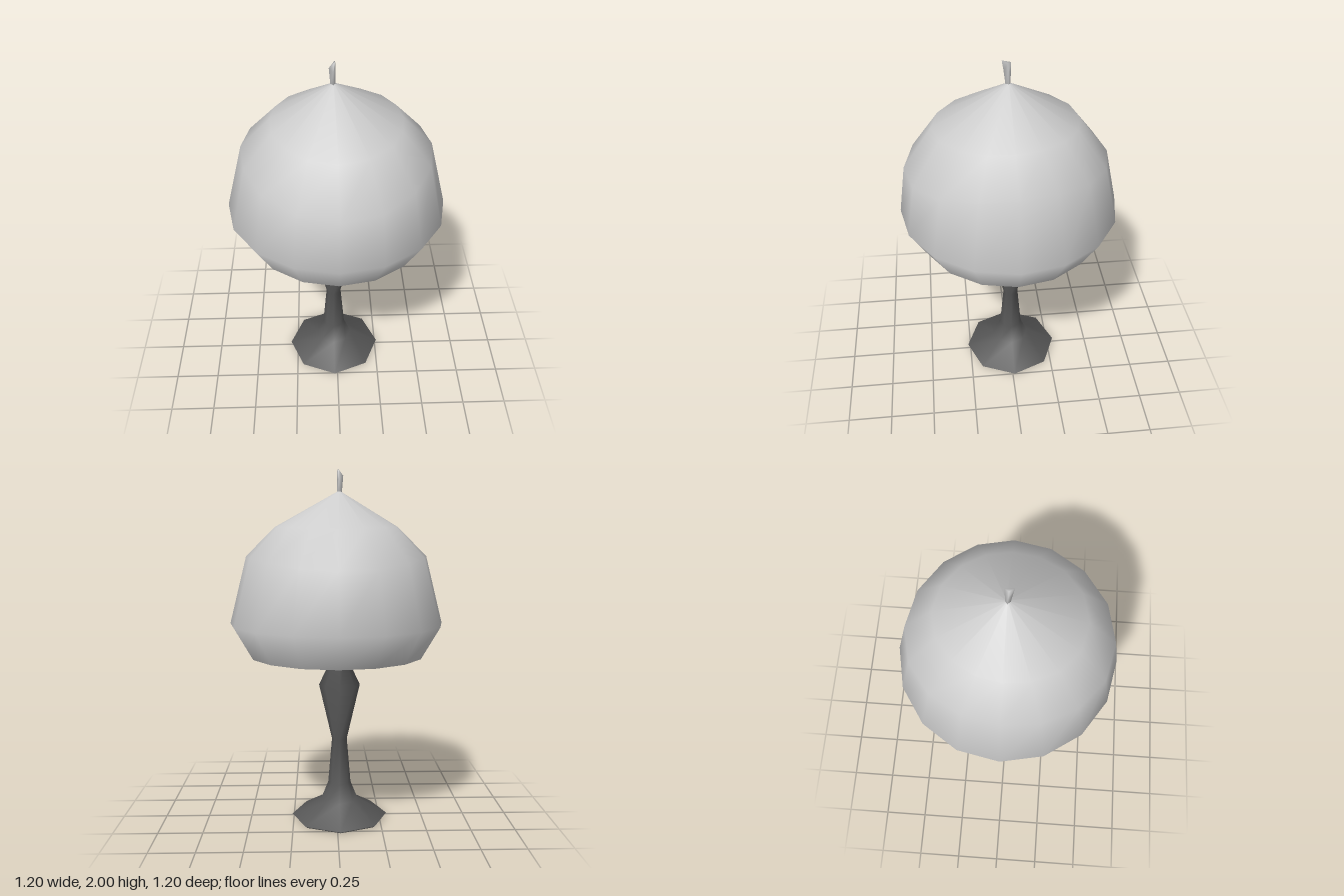
import * as THREE from 'three';

const shadeMat = new THREE.MeshStandardMaterial({ color: 0xcccccc, side: THREE.DoubleSide });
shadeMat.name = 'pale shade grey';
const standMat = new THREE.MeshStandardMaterial({ color: 0x575757 });
standMat.name = 'dark stand grey';

// Skins a stack of rings (bottom to top, each running from +z towards +x) with shared vertices.
function loft(rings, capBottom, capTop) {
  const n = rings[0].length;
  const positions = rings.flat(2);
  const index = [];
  for (let i = 0; i < rings.length - 1; i++) {
    for (let j = 0; j < n; j++) {
      const k = (j + 1) % n;
      const a = i * n + j, b = i * n + k, c = a + n, d = b + n;
      index.push(a, b, d, a, d, c);
    }
  }
  const top = (rings.length - 1) * n;
  for (let j = 1; j < n - 1; j++) {
    if (capBottom) index.push(0, j + 1, j);
    if (capTop) index.push(top, top + j, top + j + 1);
  }
  const geo = new THREE.BufferGeometry();
  geo.setAttribute('position', new THREE.Float32BufferAttribute(positions, 3));
  geo.setIndex(index);
  geo.computeVertexNormals();
  return geo;
}

// Ring whose radius and height are rules of the angle around the axis.
function ring(sides, radius, height, cx = 0, cz = 0) {
  return Array.from({ length: sides }, (_, j) => {
    const a = (j / sides) * Math.PI * 2;
    const c = Math.cos(a);
    const r = radius(c);
    return [cx + r * Math.sin(a), height(c), cz + r * c];
  });
}

function addMesh(group, name, geo, mat) {
  const mesh = new THREE.Mesh(geo, mat);
  mesh.name = name;
  group.add(mesh);
}

export function createModel() {
  const lamp = new THREE.Group();
  lamp.name = 'tableLamp';

  // Open domed shade; the shoulders sit fuller towards the front and back
  const shadeRings = [
    [() => 0.495, () => 0.965],
    [() => 0.6, () => 1.145],
    [c => 0.505 + 0.015 * c + 0.04 * c * c, c => 1.52 - 0.02 * c - 0.08 * c * c],
    [c => 0.345 + 0.015 * c + 0.04 * c * c, c => 1.68 - 0.008 * c - 0.017 * c * c],
    [() => 0.012, () => 1.873],
  ].map(([r, y]) => ring(16, r, y, 0, 0));
  shadeRings[4].forEach(p => { p[0] -= 0.015; });
  addMesh(lamp, 'shade', loft(shadeRings, false, true), shadeMat);

  // Small leaning finial
  addMesh(lamp, 'finial', loft([
    [[-0.015, 1.865, 0.015], [-0.004, 1.865, 0], [-0.015, 1.865, -0.01], [-0.03, 1.865, 0]],
    [[-0.016, 1.94, 0.024], [-0.004, 1.94, 0.002], [-0.014, 1.94, -0.012], [-0.038, 1.96, 0.006]],
    [[-0.01, 2.0, 0.034], [-0.004, 1.985, 0.004], [-0.009, 1.99, -0.013], [-0.02, 1.985, 0.008]],
  ], true, true), shadeMat);

  // Octagonal stand: flared foot, waisted stem and bulb, rod running up into the shade
  const standProfile = [
    [0.262, 0], [0.277, 0.012], [0.105, 0.11], [0.065, 0.21], [0.043, 0.47],
    [0.117, 0.79], [0.046, 0.94], [0.046, 1.83],
  ];
  const standRings = standProfile.map(([r, y]) => ring(8, () => r, () => y, -0.017, -0.012));
  addMesh(lamp, 'stand', loft(standRings, true, true), standMat);

  return lamp;
}
